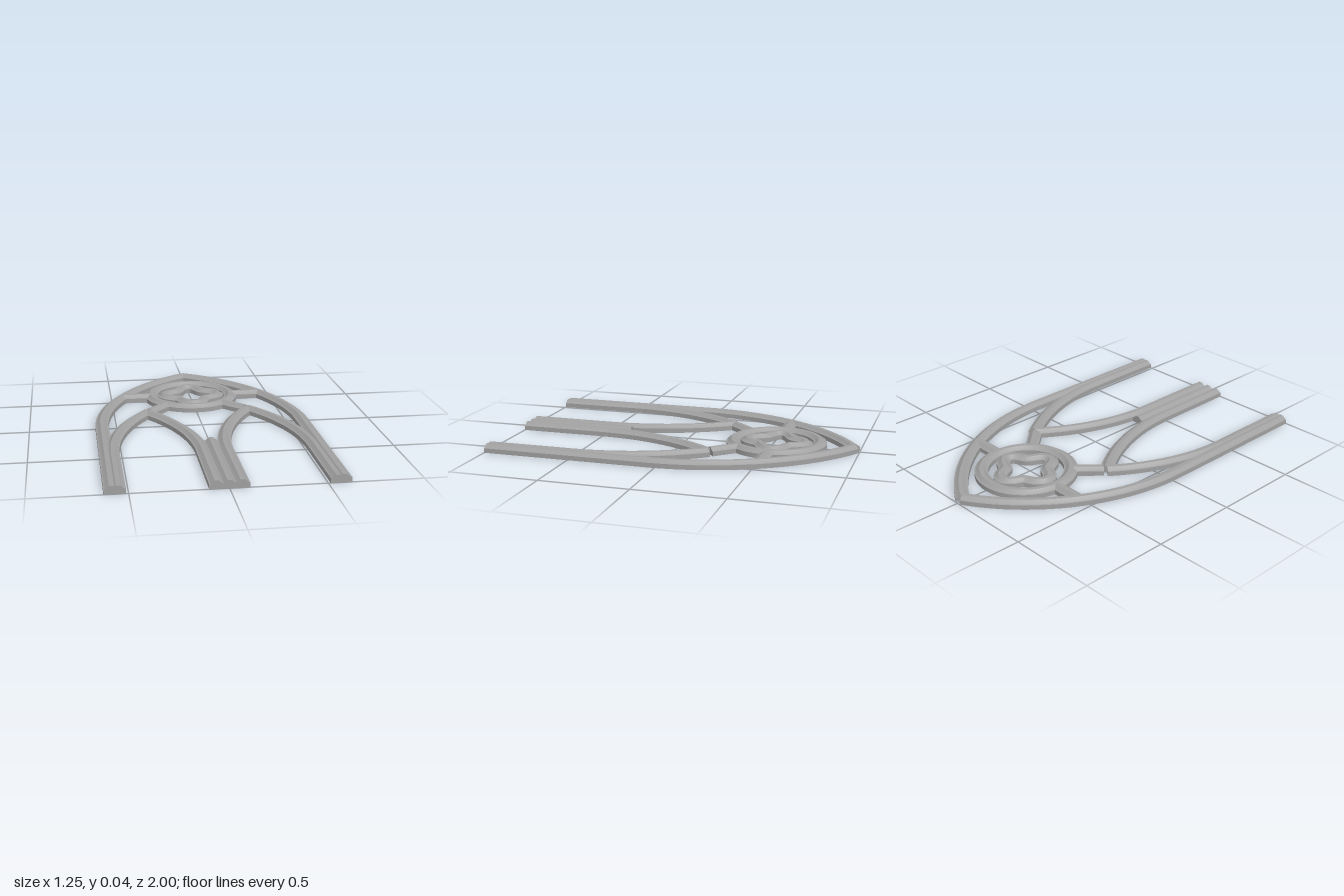
import * as THREE from 'three';
import { toCreasedNormals } from 'three/addons/utils/BufferGeometryUtils.js';

// Moulding cross-section, counter-clockwise: [sideways offset, height]
const half = [[0.038, 0], [0.038, 0.026], [0.031, 0.028], [0.021, 0.035], [0.011, 0.044]];
const profile = [...half, ...half.map(([s, y]) => [-s, y]).reverse()];

// Sweep the moulding along a flat path of [x, z] points
function sweep(path, closed = false) {
  const n = path.length, m = profile.length, pos = [], idx = [];
  path.forEach(([x, z], i) => {
    const p = closed ? path[(i + n - 1) % n] : path[Math.max(i - 1, 0)];
    const q = closed ? path[(i + 1) % n] : path[Math.min(i + 1, n - 1)];
    const tx = q[0] - p[0], tz = q[1] - p[1], l = Math.hypot(tx, tz);
    for (const [s, y] of profile) pos.push(x - s * tz / l, y, z + s * tx / l);
  });
  for (let i = 0; i < (closed ? n : n - 1); i++) {
    for (let j = 0; j < m; j++) {
      const k = (j + 1) % m, r0 = i * m, r1 = ((i + 1) % n) * m;
      idx.push(r0 + j, r1 + j, r1 + k, r0 + j, r1 + k, r0 + k);
    }
  }
  if (!closed) {
    const outline = profile.map(([s, y]) => new THREE.Vector2(s, y));
    const e = (n - 1) * m;
    for (const [a, b, c] of THREE.ShapeUtils.triangulateShape(outline, [])) {
      idx.push(a, b, c, e + a, e + c, e + b);
    }
  }
  const g = new THREE.BufferGeometry();
  g.setAttribute('position', new THREE.Float32BufferAttribute(pos, 3));
  g.setIndex(idx);
  return toCreasedNormals(g, 0.3);
}

// One side of a pointed arch: straight leg, then an arc up to the apex
function archSide(centre, halfSpan, spring, side, radius = 1.17) {
  const end = Math.acos((radius - halfSpan) / radius), pts = [[centre + side * halfSpan, 1]];
  for (let i = 0; i <= 36; i++) {
    const a = end * i / 36;
    pts.push([centre + side * (halfSpan - radius + radius * Math.cos(a)), spring - radius * Math.sin(a)]);
  }
  return pts;
}

// Closed loop around the rose centre with a radius rule
const roseZ = -0.527;
function loop(radiusAt, count) {
  return Array.from({ length: count }, (_, i) => {
    const a = i / count * Math.PI * 2, r = radiusAt(a);
    return [r * Math.cos(a), roseZ + r * Math.sin(a)];
  });
}

export function createModel() {
  const group = new THREE.Group();
  const stone = new THREE.MeshStandardMaterial({ color: 0xa0a0a0 });
  stone.name = 'greyStone';
  const add = (name, path, closed) => {
    const mesh = new THREE.Mesh(sweep(path, closed), stone);
    mesh.name = name;
    group.add(mesh);
  };

  for (const s of [1, -1]) {
    const side = s > 0 ? 'left' : 'right';
    // Large outer arch
    add(side + 'OuterArch', archSide(0, 0.585, 0.047, s));
    // Small lancet arch, both halves
    add(side + 'LancetOuterHalf', archSide(s * 0.3075, 0.2425, 0.51, s));
    add(side + 'LancetInnerHalf', archSide(s * 0.3075, 0.2425, 0.51, -s));
    // Bars tying the rose to the arches
    add(side + 'CrossBar', [[s * 0.25, roseZ], [s * 0.43, roseZ]]);
    add(side + 'DiagonalBar', [[s * 0.17, -0.345], [s * 0.292, -0.213]]);
  }

  // Central mullion between the lancets
  add('mullion', [[0, 1], [0, 0.35]]);

  // Rose ring and four-lobed foil
  add('roseRing', loop(() => 0.248, 72), true);
  add('quatrefoil', loop(a => 0.143 + 0.027 * Math.cos(4 * a), 96), true);

  return group;
}
